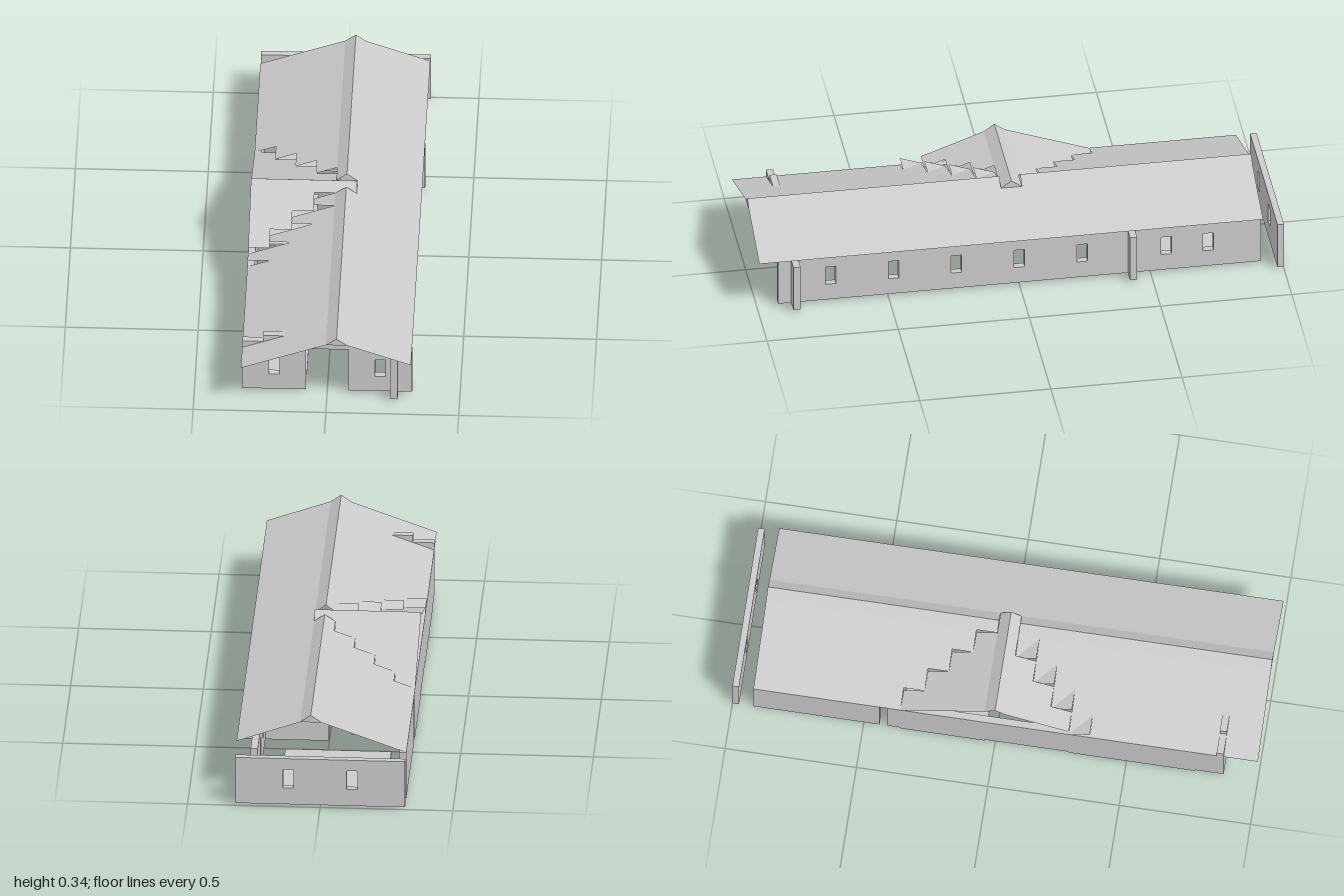
import * as THREE from 'three';

const wallMat = new THREE.MeshStandardMaterial({ color: 0xcccccc, flatShading: true });
const roofMat = new THREE.MeshStandardMaterial({ color: 0xcccccc, flatShading: true, side: THREE.DoubleSide });
const T = 0.027; // wall thickness

function add(parent, name, geometry, material = wallMat) {
  const mesh = new THREE.Mesh(geometry, material);
  mesh.name = name;
  parent.add(mesh);
  return mesh;
}

function box(parent, name, x0, x1, y0, y1, z0, z1) {
  const g = new THREE.BoxGeometry(x1 - x0, y1 - y0, z1 - z0);
  add(parent, name, g.translate((x0 + x1) / 2, (y0 + y1) / 2, (z0 + z1) / 2));
}

// Upright wall from an outline, with window holes centred on the given positions
function wall(parent, name, outline, windows, depth = T) {
  const shape = new THREE.Shape(outline.map(p => new THREE.Vector2(...p)));
  for (const u of windows) {
    shape.holes.push(new THREE.Path([[-0.02, 0.078], [-0.02, 0.155], [0.02, 0.155], [0.02, 0.078]]
      .map(([a, y]) => new THREE.Vector2(u + a, y))));
  }
  return add(parent, name, new THREE.ExtrudeGeometry(shape, { depth, bevelEnabled: false }));
}

const rect = (a, b, y0 = 0.01, y1 = 0.2) => [[a, y0], [b, y0], [b, y1], [a, y1]];

// Thin sheet from polygons, each a loop of 3D corners (counter-clockwise from above)
function sheet(parent, name, polygons) {
  const pos = [];
  for (const p of polygons) {
    for (let i = 1; i < p.length - 1; i++) pos.push(...p[0], ...p[i], ...p[i + 1]);
  }
  const g = new THREE.BufferGeometry();
  g.setAttribute('position', new THREE.Float32BufferAttribute(pos, 3));
  g.computeVertexNormals();
  add(parent, name, g, roofMat);
}

// Strip of roof running along z between two (x, y) points
const strip = ([xa, ya], [xb, yb], z0, z1) =>
  [[xa, ya, z0], [xa, ya, z1], [xb, yb, z1], [xb, yb, z0]];

export function createModel() {
  const house = new THREE.Group();
  house.name = 'longHouse';

  // Walls
  const walls = new THREE.Group();
  walls.name = 'walls';
  house.add(walls);

  // Front wall: stepped gable with a doorway
  wall(walls, 'frontWall', [
    [-0.32, 0.01], [-0.08, 0.01], [-0.08, 0.2], [0.08, 0.2], [0.08, 0.01], [0.32, 0.01],
    [0.32, 0.2], [0.24, 0.2], [0.24, 0.23], [0.16, 0.23], [0.16, 0.258], [0.08, 0.258],
    [0.08, 0.287], [-0.08, 0.287], [-0.08, 0.258], [-0.24, 0.258], [-0.24, 0.23], [-0.32, 0.23],
  ], [-0.2, 0.2]).position.z = 0.843;

  // Back wall stands apart behind the house
  wall(walls, 'backWall', rect(-0.32, 0.32), [-0.12, 0.12], 0.025).position.z = -1;

  // Side wall with windows; its outline runs along -z
  const side = wall(walls, 'windowedSideWall', rect(-0.92, 0.92),
    [-0.72, -0.48, -0.24, 0, 0.24, 0.56, 0.72]);
  side.rotation.y = Math.PI / 2;
  side.position.x = 0.24;

  // Plain side wall in two lengths, and the inner cross wall
  box(walls, 'plainSideWallBack', -0.32, -0.32 + T, 0.01, 0.2, -0.92, -0.44);
  box(walls, 'plainSideWallFront', -0.32, -0.32 + T, 0.01, 0.2, -0.41, 0.843);
  box(walls, 'crossWall', 0, 0.32, 0.01, 0.2, -0.44, -0.413);

  // Floor slabs
  const floor = new THREE.Group();
  floor.name = 'floor';
  house.add(floor);
  box(floor, 'frontFloorSlab', -0.32, -0.08, 0, 0.01, 0.28, 0.76);
  box(floor, 'middleFloorSlab', -0.32, -0.08, 0, 0.01, -0.36, -0.04);
  box(floor, 'backFloorSlab', -0.24, 0.16, 0, 0.01, -0.84, -0.52);

  // Main roof
  const roof = new THREE.Group();
  roof.name = 'roof';
  house.add(roof);
  const Z0 = -0.92, Z1 = 1;
  const leftY = x => 0.2 + (x + 0.32) * 0.3625;
  const low = [0.32, 0.23], shoulderR = [0.08, 0.316], ridge = [0.04, 0.345], shoulderL = [0, 0.316];
  sheet(roof, 'rightRoofSlope', [strip(shoulderR, low, Z0, Z1)]);
  const caps = [];
  for (const [a, b] of [[Z0, -0.04], [0.04, Z1]]) {
    caps.push(strip(shoulderL, ridge, a, b), strip(ridge, shoulderR, a, b));
  }
  caps.push([[0, 0.316, Z1], [0.08, 0.316, Z1], [0.04, 0.345, Z1]],
    [[0.08, 0.316, Z0], [0, 0.316, Z0], [0.04, 0.345, Z0]]);
  sheet(roof, 'ridgeCap', caps);

  // Left slope is cut back in steps around the cross gable, column by column
  const left = [], crossFront = [], crossBack = [], valley = [];
  for (let i = 0; i < 4; i++) {
    const xa = -0.32 + i * 0.08, xb = xa + 0.08;
    const ya = leftY(xa), yb = leftY(xb);
    const zo = 0.36 - i * 0.08, zi = zo - 0.08;
    left.push(strip([xa, ya], [xb, yb], Z0, -zo), strip([xa, ya], [xb, yb], zo, Z1));
    crossBack.push([[xa, ya, -zo], [xa, 0.316, -0.04], [xb, 0.316, -0.04], [xb, ya, -zo]]);
    if (i < 3) crossFront.push([[xa, 0.316, 0.04], [xa, yb, zi], [xb, yb, zi], [xb, 0.316, 0.04]]);
    // Folded valley tile, dipping at its inner outside corner
    valley.push([[xa, ya, zi], [xb, yb, zo], [xb, yb, zi]],
      [[xa, ya, zi], [xa, yb, zo], [xb, yb, zo]]);
  }
  sheet(roof, 'leftRoofSlope', left);
  sheet(roof, 'crossGableFrontSlope', crossFront);
  sheet(roof, 'crossGableBackSlope', crossBack);
  sheet(roof, 'valleyTiles', valley);

  // Cross gable ridge cap with a closed inner end
  const xa = -0.32, xb = 0.08;
  sheet(roof, 'crossRidgeCap', [
    [[xa, 0.345, 0], [xa, 0.316, 0.04], [xb, 0.316, 0.04], [xb, 0.345, 0]],
    [[xa, 0.316, -0.04], [xa, 0.345, 0], [xb, 0.345, 0], [xb, 0.316, -0.04]],
    [[xb, 0.316, 0.04], [xb, 0.316, -0.04], [xb, 0.345, 0]],
  ]);

  return house;
}
